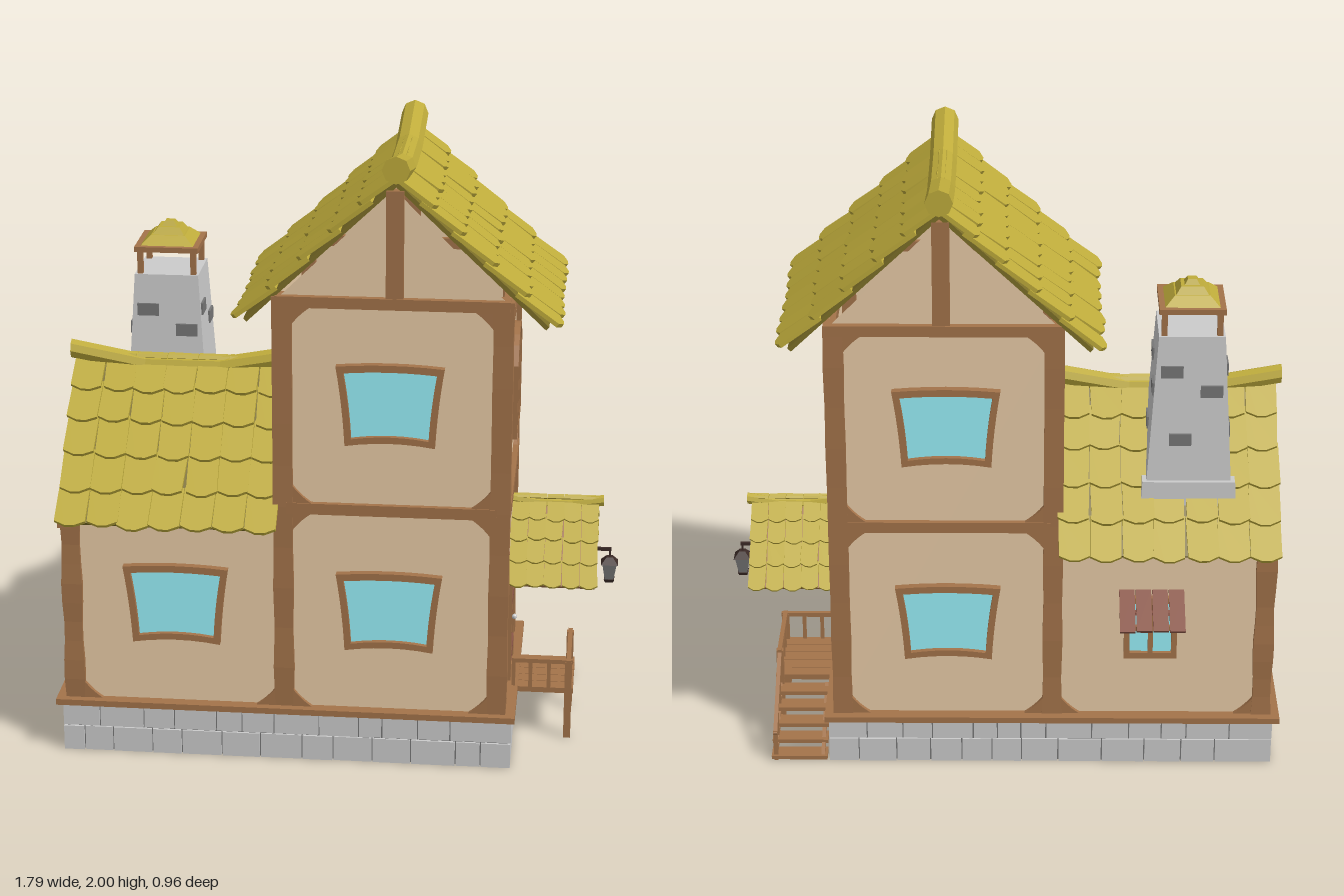
import * as THREE from 'three';
import { mergeGeometries } from 'three/addons/utils/BufferGeometryUtils.js';

const mat = (color, side = THREE.FrontSide) => new THREE.MeshStandardMaterial({ color, side, flatShading: true });
const WOOD = mat(0xa3734a), PLASTER = mat(0xe9cca7, THREE.DoubleSide), TILE = mat(0xbfac3b), UNDER = mat(0x7d6f28);
const GLASS = mat(0x99f2fb, THREE.DoubleSide), STONE = mat(0xcccccc), MORTAR = mat(0x777777), DOOR = mat(0x8a5546), IRON = mat(0x3b2a26);

let seed = 7;
const rnd = () => ((seed = (seed * 16807) % 2147483647) / 2147483647);

function add(parent, name, geo, material, x = 0, y = 0, z = 0) {
  const m = new THREE.Mesh(geo, material);
  m.name = name;
  m.position.set(x, y, z);
  parent.add(m);
  return m;
}
function group(parent, name, x = 0, y = 0, z = 0, ry = 0) {
  const g = new THREE.Group();
  g.name = name;
  g.position.set(x, y, z);
  g.rotation.y = ry;
  parent.add(g);
  return g;
}
// box given by its limits
const box = (p, name, m, x0, x1, y0, y1, z0, z1) =>
  add(p, name, new THREE.BoxGeometry(x1 - x0, y1 - y0, z1 - z0), m, (x0 + x1) / 2, (y0 + y1) / 2, (z0 + z1) / 2);
// bar between two points, w wide and t thick
function bar(p, name, m, a, b, w, t = w) {
  const A = new THREE.Vector3(...a), B = new THREE.Vector3(...b);
  const mesh = add(p, name, new THREE.BoxGeometry(w, t, A.distanceTo(B)), m);
  mesh.position.copy(A).add(B).multiplyScalar(0.5);
  mesh.quaternion.setFromRotationMatrix(new THREE.Matrix4().lookAt(B, A, new THREE.Vector3(0, 1, 0)));
}
const poly = (pts) => new THREE.Shape(pts.map(([x, y]) => new THREE.Vector2(x, y)));
const extrude = (shape, depth) => new THREE.ExtrudeGeometry(shape, { depth, bevelEnabled: false, curveSegments: 6 });
const rect = (x0, x1, y0, y1) => poly([[x0, y0], [x1, y0], [x1, y1], [x0, y1]]);
const wall = (p, name, pts) => add(p, name, new THREE.ShapeGeometry(poly(pts)), PLASTER);

// hand-hewn post with wavy sides
function post(p, x, z, y0, y1, w = 0.062) {
  const g = new THREE.BoxGeometry(w, y1 - y0, w, 1, 10, 1), a = g.attributes.position;
  for (let i = 0; i < a.count; i++) {
    const k = 1 + 0.09 * Math.sin(a.getY(i) * 22 + x * 9 + z * 5);
    a.setX(i, a.getX(i) * k);
    a.setZ(i, a.getZ(i) * k);
  }
  g.computeVertexNormals();
  add(p, 'cornerPost', g, WOOD, x, (y0 + y1) / 2, z);
}
// corner braces of one wall panel
function braces(p, x0, x1, y0, y1, s = 0.064) {
  for (const [x, sx] of [[x0, 1], [x1, -1]]) for (const [y, sy] of [[y0, 1], [y1, -1]]) {
    const sh = new THREE.Shape();
    sh.moveTo(x, y);
    sh.lineTo(x + sx * s, y);
    sh.quadraticCurveTo(x + sx * s * 0.4, y + sy * s * 0.4, x, y + sy * s);
    add(p, 'cornerBrace', extrude(sh, 0.014), WOOD);
  }
}
// window that flares towards the top
function flaredOutline(k, ky) {
  const s = new THREE.Shape();
  s.moveTo(-0.14 * k, -0.134 * ky);
  s.quadraticCurveTo(0, -0.11 * ky, 0.14 * k, -0.134 * ky);
  s.quadraticCurveTo(0.147 * k, 0, 0.168 * k, 0.124 * ky);
  s.quadraticCurveTo(0, 0.14 * ky, -0.168 * k, 0.124 * ky);
  s.quadraticCurveTo(-0.147 * k, 0, -0.14 * k, -0.134 * ky);
  return s;
}
function flaredWindow(p, x, y) {
  const g = group(p, 'flaredWindow', x, y), s = flaredOutline(1, 1);
  s.holes.push(flaredOutline(0.86, 0.83));
  add(g, 'windowFrame', extrude(s, 0.025), WOOD);
  add(g, 'windowGlass', new THREE.ShapeGeometry(flaredOutline(0.9, 0.9)), GLASS, 0, 0, 0.008);
}
// arched window with three lights; y is its sill
function archSlot(x0, x1, y0, rx, spring, ry) {
  const pts = [[x0, y0], [x1, y0]];
  for (let i = 0; i <= 8; i++) {
    const x = x1 + (x0 - x1) * i / 8;
    pts.push([x, spring + ry * Math.sqrt(Math.max(0, 1 - (x / rx) ** 2))]);
  }
  return poly(pts);
}
function archedWindow(p, x, y) {
  const g = group(p, 'archedWindow', x, y), s = archSlot(-0.15, 0.15, 0, 0.154, 0.215, 0.125);
  for (const [a, b] of [[-0.13, -0.058], [-0.035, 0.035], [0.058, 0.13]]) s.holes.push(archSlot(a, b, 0.016, 0.142, 0.2, 0.122));
  add(g, 'windowFrame', extrude(s, 0.025), WOOD);
  add(g, 'windowGlass', new THREE.ShapeGeometry(archSlot(-0.14, 0.14, 0.01, 0.144, 0.205, 0.12)), GLASS, 0, 0, 0.008);
}
// gabled roof, ridge along local z, origin at the ridge centre
function roof(p, name, pos, ry, len, run, rise, rows, cols, r, sag, under) {
  const g = group(p, name, ...pos, ry), L = Math.hypot(run, rise), c = run / L, s = rise / L;
  const step = L / rows, w = len / cols, tl = step * 1.25;
  for (const side of [0, Math.PI]) {
    const slope = group(group(g, 'roofSide', 0, 0, 0, side), 'slope');
    slope.applyMatrix4(new THREE.Matrix4().makeBasis(
      new THREE.Vector3(0, 0, -1), new THREE.Vector3(-c, s, 0), new THREE.Vector3(s, c, 0)));
    box(slope, 'roofBoards', under, -len / 2 + 0.005, len / 2 - 0.005, -L * 0.96, 0, -0.018, -0.004);
    const tiles = [];
    for (let i = 0; i < rows; i++) for (let j = 0; j < cols; j++) {
      const h = w * 0.49, d = tl * (0.97 + 0.08 * rnd());
      const t = extrude(poly([[-h, 0], [-h, -d * 0.9], [-h * 0.3, -d], [h * 0.3, -d], [h, -d * 0.9], [h, 0]]), step * 0.1);
      t.rotateX(-0.1 - 0.04 * rnd());
      t.rotateZ((rnd() - 0.5) * 0.09);
      t.translate(-len / 2 + w * (j + 0.5), -(i + 1) * step + tl - (i ? 0 : step * 0.1), -0.008);
      tiles.push(t);
    }
    add(slope, 'roofTiles', mergeGeometries(tiles), TILE);
  }
  // ridge cap: level in the middle, rising towards both ends
  const ridge = new THREE.CylinderGeometry(r, r, len + 0.03, 8, 3).rotateX(Math.PI / 2), a = ridge.attributes.position;
  for (let i = 0; i < a.count; i++) if (Math.abs(a.getZ(i)) > len * 0.4) a.setY(i, a.getY(i) + sag);
  ridge.computeVertexNormals();
  add(g, 'ridgeCap', ridge, TILE, 0, -0.02, 0);
}
// four-sided frustum given by half widths
const frustum = (p, name, m, top, bottom, y0, y1) => add(p, name,
  new THREE.CylinderGeometry(top * Math.SQRT2, bottom * Math.SQRT2, y1 - y0, 4).rotateY(Math.PI / 4), m, 0, (y0 + y1) / 2, 0);

export function createModel() {
  const house = new THREE.Group();
  house.name = 'house';

  // stone foundation, open inside
  const base = group(house, 'foundation');
  for (const [x, z, ry, len] of [[-0.155, 0.405, 0, 1.45], [-0.155, -0.34, Math.PI, 1.45], [0.565, 0.0325, Math.PI / 2, 0.745], [-0.875, 0.0325, -Math.PI / 2, 0.745]]) {
    const f = group(base, 'foundationWall', x, 0, z, ry), h = len / 2;
    box(f, 'mortar', MORTAR, -h + 0.004, h - 0.004, 0.002, 0.16, -0.018, -0.004);
    for (const [y0, y1] of [[0, 0.083], [0.087, 0.16]]) {
      for (let a = -h; a < h - 0.001;) {
        let b = a + 0.07 + 0.08 * rnd();
        if (h - b < 0.06) b = h;
        box(f, 'stoneBlock', STONE, a + 0.002, b - 0.002, y0, y1, -0.022, 0.001 + 0.004 * rnd());
        a = b;
      }
    }
  }
  const sill = rect(-0.9, 0.58, -0.415, 0.365);
  sill.holes.push(rect(-0.82, 0.5, -0.34, 0.285));
  add(house, 'sillPlank', extrude(sill, 0.02).rotateX(-Math.PI / 2), WOOD, 0, 0.158, 0);

  // walls: each face has local x along the wall and local z outward
  const front = group(house, 'frontFace', 0, 0, 0.375), back = group(house, 'backFace', 0, 0, -0.32, Math.PI);
  const right = group(house, 'towerLeftFace', 0.535, 0, 0, Math.PI / 2), inner = group(house, 'towerInnerFace', -0.175, 0, 0, -Math.PI / 2);
  const end = group(house, 'wingEndFace', -0.855, 0, 0, -Math.PI / 2);
  for (const [f, s] of [[front, 1], [back, -1]]) {
    wall(f, 'towerWall', [[-0.175, 0.165], [0.535, 0.165], [0.535, 1.54], [0.185, 1.89], [-0.175, 1.54]].map(([x, y]) => [x * s, y]));
    wall(f, 'wingWall', [[-0.855 * s, 0.165], [-0.175 * s, 0.165], [-0.175 * s, 0.85], [-0.855 * s, 0.85]]);
    const c = 0.18 * s;
    box(f, 'middleBeam', WOOD, c - 0.33, c + 0.33, 0.842, 0.878, -0.02, 0.018);
    box(f, 'topBeam', WOOD, c - 0.36, c + 0.36, 1.518, 1.553, -0.02, 0.022);
    box(f, 'gablePost', WOOD, 0.187 * s - 0.027, 0.187 * s + 0.027, 1.55, 1.89, -0.02, 0.018);
    braces(f, c - 0.315, c + 0.315, 0.178, 0.842);
    braces(f, c - 0.315, c + 0.315, 0.878, 1.518);
    braces(f, -0.5 * s - 0.315, -0.5 * s + 0.315, 0.178, 0.85);
    flaredWindow(f, 0.175 * s, 0.52);
    flaredWindow(f, 0.175 * s, 1.21);
  }
  flaredWindow(front, -0.505, 0.52);
  wall(right, 'towerSideWall', [[-0.375, 0.165], [0.32, 0.165], [0.32, 1.54], [-0.375, 1.54]]);
  wall(inner, 'towerInnerWall', [[-0.32, 0.165], [0.375, 0.165], [0.375, 1.54], [-0.32, 1.54]]);
  wall(end, 'wingGableWall', [[-0.32, 0.165], [0.375, 0.165], [0.375, 0.84], [0.0275, 1.17], [-0.32, 0.84]]);
  box(right, 'middleBeam', WOOD, -0.33, 0.28, 0.842, 0.878, -0.02, 0.018);
  box(right, 'topBeam', WOOD, -0.36, 0.3, 1.49, 1.53, -0.02, 0.018);
  braces(right, -0.33, 0.275, 0.178, 0.842);
  braces(right, -0.33, 0.275, 0.878, 1.49);
  box(end, 'gableBeam', WOOD, -0.34, 0.395, 0.765, 0.805, -0.02, 0.025);
  braces(end, -0.275, 0.33, 0.178, 0.765);
  archedWindow(right, -0.025, 1.035);
  archedWindow(end, 0.025, 0.32);
  add(end, 'roundWindowFrame', new THREE.TorusGeometry(0.065, 0.015, 4, 12), WOOD, 0.025, 0.93, 0.012);
  add(end, 'roundWindowGlass', new THREE.CircleGeometry(0.062, 12), GLASS, 0.025, 0.93, 0.01);
  for (const z of [0.36, -0.305]) {
    post(house, -0.16, z, 0.175, 1.55);
    post(house, 0.52, z, 0.175, 1.55);
    post(house, -0.84, z, 0.175, 0.84);
  }

  // small back window with a propped plank shutter
  const small = group(back, 'smallWindow', 0.475, 0.5), frame = rect(-0.085, 0.085, -0.11, 0.11);
  for (const x of [-0.067, 0.008]) for (const y of [-0.09, 0.008]) frame.holes.push(rect(x, x + 0.059, y, y + 0.082));
  add(small, 'windowFrame', extrude(frame, 0.022), WOOD);
  add(small, 'windowGlass', new THREE.PlaneGeometry(0.16, 0.2), GLASS, 0, 0, 0.008);
  for (let i = 0; i < 4; i++) bar(small, 'shutterPlank', DOOR, [-0.079 + i * 0.0527, 0.135, 0.012], [-0.079 + i * 0.0527, 0.062, 0.145 + 0.012 * rnd()], 0.049, 0.009);
  bar(small, 'shutterBatten', DOOR, [-0.1, 0.091, 0.08], [0.1, 0.091, 0.08], 0.02, 0.01);

  // roofs
  roof(house, 'towerRoof', [0.19, 1.925, 0.025], 0, 0.73, 0.49, 0.465, 5, 8, 0.043, 0.052, UNDER);
  roof(house, 'wingRoof', [-0.525, 1.215, 0.012], Math.PI / 2, 0.7, 0.45, 0.425, 5, 7, 0.032, 0.045, UNDER);
  roof(house, 'porchRoof', [0.685, 0.785, 0.02], Math.PI / 2, 0.28, 0.23, 0.225, 4, 5, 0.019, 0.016, WOOD);

  // chimney with a small covered top
  const chimney = group(house, 'chimney', -0.585, 0, -0.145);
  frustum(chimney, 'chimneyBase', STONE, 0.146, 0.154, 0.84, 1.0);
  frustum(chimney, 'chimneyStack', STONE, 0.103, 0.134, 0.98, 1.48);
  for (let k = 0; k < 4; k++) {
    const f = group(chimney, 'chimneySide', 0, 0, 0, k * Math.PI / 2);
    for (const [x, y] of [[-0.06, 1.365], [0.065, 1.3], [-0.03, 1.14]]) {
      const half = 0.103 + 0.062 * (1.48 - y);
      box(f, 'chimneyBrick', MORTAR, x - 0.035, x + 0.035, y - 0.02, y + 0.02, half - 0.02, half + 0.006);
    }
    box(f, 'capPost', WOOD, 0.077, 0.095, 1.475, 1.56, 0.077, 0.095);
  }
  frustum(chimney, 'capFrame', WOOD, 0.103, 0.103, 1.553, 1.57);
  frustum(chimney, 'capLower', TILE, 0.055, 0.085, 1.57, 1.598);
  frustum(chimney, 'capMiddle', TILE, 0.035, 0.052, 1.596, 1.62);
  frustum(chimney, 'capTop', TILE, 0.014, 0.025, 1.618, 1.636);

  // door
  const door = group(right, 'door', -0.02, 0.178);
  for (let i = 0; i < 4; i++) box(door, 'doorPlank', DOOR, -0.094 + i * 0.047, -0.049 + i * 0.047, 0, 0.318 + 0.006 * rnd(), -0.005, 0.014);
  for (const y of [0.06, 0.25]) box(door, 'doorBatten', DOOR, -0.09, 0.09, y, y + 0.025, 0, 0.02);
  for (const x of [-0.1, 0.1]) box(door, 'doorJamb', WOOD, x - 0.008, x + 0.008, 0, 0.33, -0.005, 0.02);
  box(door, 'doorLintel', WOOD, -0.108, 0.108, 0.322, 0.338, -0.005, 0.022);
  add(door, 'doorKnob', new THREE.SphereGeometry(0.009, 8, 6), STONE, 0.075, 0.15, 0.022);

  // porch roof timbers and lantern
  const porch = group(house, 'porch');
  bar(porch, 'porchTieBeam', WOOD, [0.78, 0.592, -0.16], [0.78, 0.592, 0.2], 0.02, 0.016);
  for (const s of [-1, 1]) {
    bar(porch, 'porchRafter', WOOD, [0.79, 0.755, 0.02], [0.79, 0.57, 0.02 + s * 0.195], 0.016);
    bar(porch, 'porchBracket', WOOD, [0.54, 0.605, 0.02 + s * 0.07], [0.79, 0.605, 0.02 + s * 0.07], 0.02);
  }
  bar(porch, 'lanternArm', IRON, [0.78, 0.612, 0.02], [0.87, 0.612, 0.02], 0.01);
  const lantern = group(porch, 'lantern', 0.865, 0, 0.02);
  box(lantern, 'lanternHook', IRON, -0.003, 0.003, 0.57, 0.612, -0.003, 0.003);
  frustum(lantern, 'lanternCap', IRON, 0.01, 0.028, 0.565, 0.587);
  frustum(lantern, 'lanternGlass', MORTAR, 0.023, 0.014, 0.51, 0.565);
  frustum(lantern, 'lanternFoot', IRON, 0.017, 0.013, 0.5, 0.511);

  // porch deck, legs, railing and stairs
  for (let i = 0; i < 5; i++) box(porch, 'deckPlank', WOOD, 0.55, 0.76, 0.157, 0.175, -0.09 + i * 0.051, -0.042 + i * 0.051);
  for (const z of [-0.085, 0.157]) box(porch, 'deckLeg', WOOD, 0.732, 0.755, 0, 0.27, z - 0.011, z + 0.011);
  bar(porch, 'frontRail', WOOD, [0.56, 0.268, 0.157], [0.757, 0.268, 0.157], 0.014);
  bar(porch, 'sideRail', WOOD, [0.744, 0.268, -0.1], [0.744, 0.268, 0.168], 0.014);
  for (const x of [0.565, 0.62, 0.68]) box(porch, 'baluster', WOOD, x - 0.006, x + 0.006, 0.17, 0.265, 0.151, 0.163);
  for (const z of [-0.025, 0.035, 0.095]) box(porch, 'baluster', WOOD, 0.738, 0.75, 0.17, 0.265, z - 0.006, z + 0.006);
  for (let i = 0; i < 5; i++) {
    const z = -0.115 - i * 0.052, y = 0.142 - i * 0.03;
    box(porch, 'stairTread', WOOD, 0.575, 0.758, y - 0.013, y, z - 0.03, z + 0.028);
    if (i % 2) box(porch, 'stairBaluster', WOOD, 0.738, 0.75, y, y + 0.095, z - 0.006, z + 0.006);
  }
  for (const x of [0.59, 0.744]) bar(porch, 'stairStringer', WOOD, [x, 0.14, -0.09], [x, 0.012, -0.34], 0.012, 0.02);
  bar(porch, 'stairRail', WOOD, [0.744, 0.268, -0.085], [0.744, 0.1, -0.345], 0.013);
  box(porch, 'stairPost', WOOD, 0.737, 0.751, 0, 0.11, -0.345, -0.331);
  return house;
}
